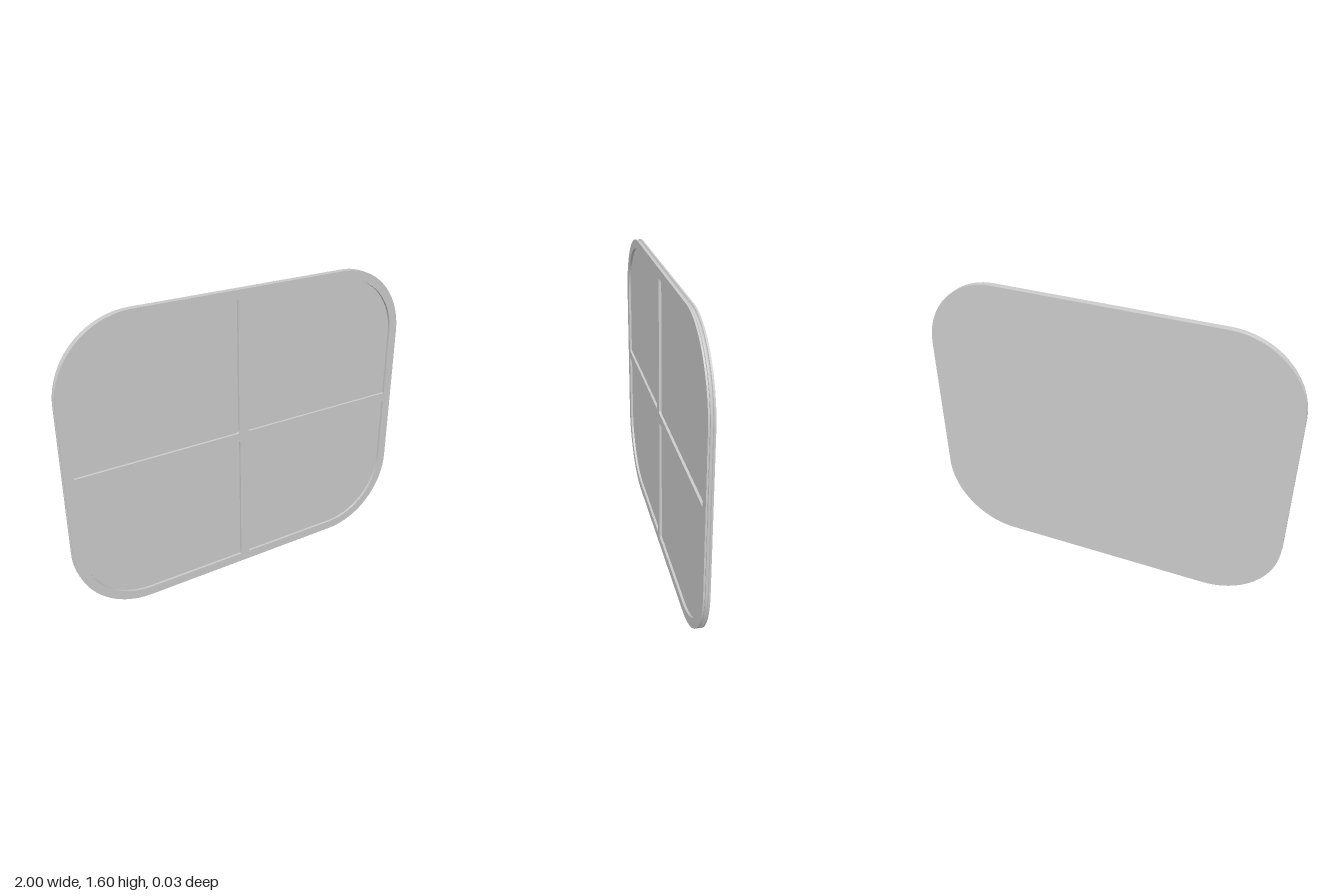
import * as THREE from 'three';
import { toCreasedNormals } from 'three/addons/utils/BufferGeometryUtils.js';

const HALF_W = 1, HEIGHT = 1.6, MID = HEIGHT / 2, CORNER = 0.4;
const FRONT = 0.017, FLOOR = 0.004, BORDER = 0.05;
const K = 0.5523; // bezier handle length for a quarter circle

const material = new THREE.MeshStandardMaterial({ color: 0xcccccc });

function addMesh(group, name, geometry) {
  const mesh = new THREE.Mesh(geometry, material);
  mesh.name = name;
  group.add(mesh);
}

// Counter-clockwise rounded outline of the panel, moved inwards by inset
function outline(inset) {
  const r = CORNER - inset, n = 20, pts = [];
  const cx = HALF_W - CORNER, cy = MID - CORNER;
  [[1, 1], [-1, 1], [-1, -1], [1, -1]].forEach(([sx, sy], q) => {
    for (let i = 0; i <= n; i++) {
      const a = (q + i / n) * Math.PI / 2;
      pts.push(new THREE.Vector2(sx * cx + r * Math.cos(a), MID + sy * cy + r * Math.sin(a)));
    }
  });
  return pts;
}

// Outline of one recess; sx, sy choose the quadrant, xi and xo are the
// ends of its slightly slanted edge along the upright bar
function recess(sx, sy, xi, xo) {
  const X = sx * (HALF_W - BORDER), yi = MID + sy * 0.025, Y = MID + sy * (MID - BORDER);
  const r = CORNER - BORDER, h = r * (1 - K), f = 0.015;
  const s = new THREE.Shape();
  s.moveTo(xi + sx * f, yi);
  s.lineTo(X, yi);
  s.lineTo(X, Y - sy * r);
  s.bezierCurveTo(X, Y - sy * h, X - sx * h, Y, X - sx * r, Y);
  s.lineTo(xo, Y);
  s.lineTo(xi, yi + sy * f);
  s.quadraticCurveTo(xi, yi, xi + sx * f, yi);
  const pts = s.getPoints(16);
  if (pts[0].distanceTo(pts[pts.length - 1]) < 1e-6) pts.pop();
  return sx * sy < 0 ? pts.reverse() : pts;
}

// Closed band through rings of { pts, z }
function band(rings) {
  const n = rings[0].pts.length, pos = [], idx = [];
  rings.forEach(({ pts, z }) => pts.forEach(p => pos.push(p.x, p.y, z)));
  for (let j = 0; j < rings.length - 1; j++) {
    for (let i = 0; i < n; i++) {
      const k = (i + 1) % n, a = j * n, b = a + n;
      idx.push(a + i, b + i, b + k, a + i, b + k, a + k);
    }
  }
  const g = new THREE.BufferGeometry();
  g.setAttribute('position', new THREE.Float32BufferAttribute(pos, 3));
  g.setIndex(idx);
  return toCreasedNormals(g, 0.5);
}

export function createModel() {
  const group = new THREE.Group();
  group.name = 'dividedPanel';

  const recesses = [
    ['upperLeft', recess(1, 1, 0.01, 0.005)],
    ['upperRight', recess(-1, 1, -0.04, -0.045)],
    ['lowerLeft', recess(1, -1, 0.015, 0.02)],
    ['lowerRight', recess(-1, -1, -0.035, -0.03)],
  ];

  // Front border and crossing bars
  const frame = new THREE.Shape(outline(0));
  recesses.forEach(([, pts]) => frame.holes.push(new THREE.Path(pts)));
  addMesh(group, 'frontFrame', new THREE.ShapeGeometry(frame).translate(0, 0, FRONT));

  // Four sunken panes with their side walls
  recesses.forEach(([name, pts]) => {
    const pane = new THREE.Group();
    pane.name = name + 'Pane';
    addMesh(pane, 'paneFloor', new THREE.ShapeGeometry(new THREE.Shape(pts)).translate(0, 0, FLOOR));
    addMesh(pane, 'paneWalls', band([{ pts, z: FLOOR }, { pts, z: FRONT }]));
    group.add(pane);
  });

  // Outer edge with a groove running all the way round
  const profile = [[0, FRONT], [0, 0.009], [0.007, 0.006], [0.01, 0.002],
    [0.01, -0.002], [0.007, -0.006], [0, -0.009], [0, -FRONT]];
  addMesh(group, 'groovedEdge', band(profile.map(([inset, z]) => ({ pts: outline(inset), z }))));

  // Plain back
  const back = new THREE.ShapeGeometry(new THREE.Shape(outline(0)));
  addMesh(group, 'backFace', back.rotateY(Math.PI).translate(0, 0, -FRONT));

  return group;
}
